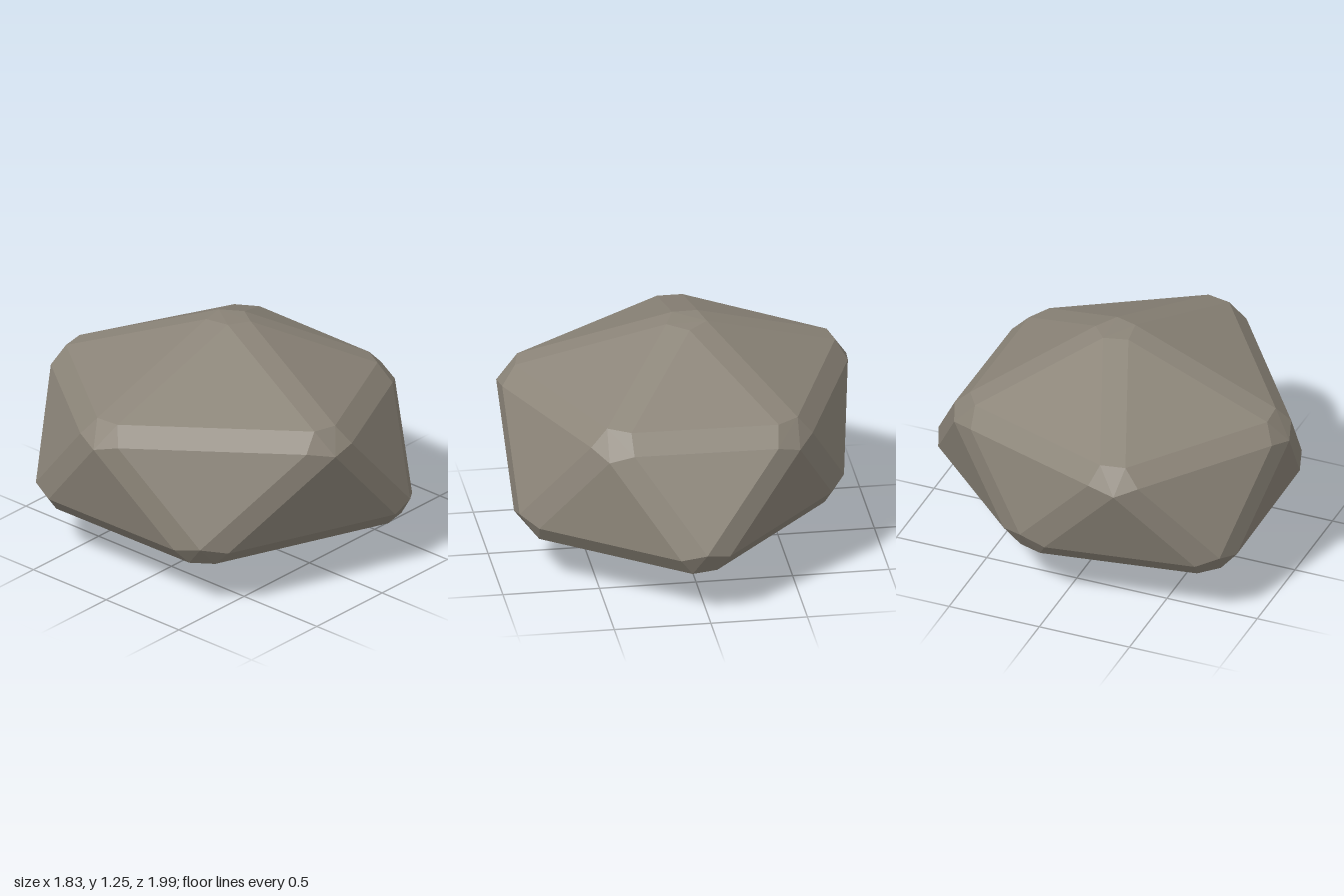
import * as THREE from 'three';
import { ConvexGeometry } from 'three/addons/geometries/ConvexGeometry.js';

const BEVEL = 0.068;
const v = (x, y, z) => new THREE.Vector3(x, y, z);

// Irregular icosahedron: two poles and two staggered rings of five corners
const crown = v(-0.03, 1.31, 0.02);
const base = v(-0.03, -0.03, 0.03);
const upper = [
  v(-0.085, 0.95, 1.03), v(0.95, 0.965, 0.27), v(0.475, 0.905, -0.68),
  v(-0.53, 0.9, -0.69), v(-0.945, 0.94, 0.38),
];
const lower = [
  v(0.51, 0.31, 0.86), v(0.925, 0.28, -0.36), v(0.02, 0.28, -1.04),
  v(-0.83, 0.32, -0.19), v(-0.645, 0.31, 0.87),
];

// Corner a of a face, moved in by the bevel width from both its edges
function insetCorner(a, b, c) {
  const e = b.clone().sub(a).normalize();
  const f = c.clone().sub(a).normalize();
  return e.clone().add(f).multiplyScalar(BEVEL / Math.sin(e.angleTo(f))).add(a);
}

export function createModel() {
  const stone = new THREE.MeshStandardMaterial({ color: 0x8b8478, flatShading: true });
  stone.name = 'warm grey stone';

  const points = [];
  const addFace = (a, b, c) =>
    points.push(insetCorner(a, b, c), insetCorner(b, c, a), insetCorner(c, a, b));

  for (let i = 0; i < 5; i++) {
    const j = (i + 1) % 5;
    addFace(crown, upper[i], upper[j]);
    addFace(upper[i], lower[i], upper[j]);
    addFace(lower[i], lower[j], upper[j]);
    addFace(base, lower[j], lower[i]);
  }

  // The hull joins the inset faces with bevelled edges and cut corners
  const geometry = new ConvexGeometry(points);
  geometry.computeBoundingBox();
  geometry.translate(0, -geometry.boundingBox.min.y, 0);

  const rock = new THREE.Mesh(geometry, stone);
  rock.name = 'rock';
  const group = new THREE.Group();
  group.name = 'boulder';
  group.add(rock);
  return group;
}
